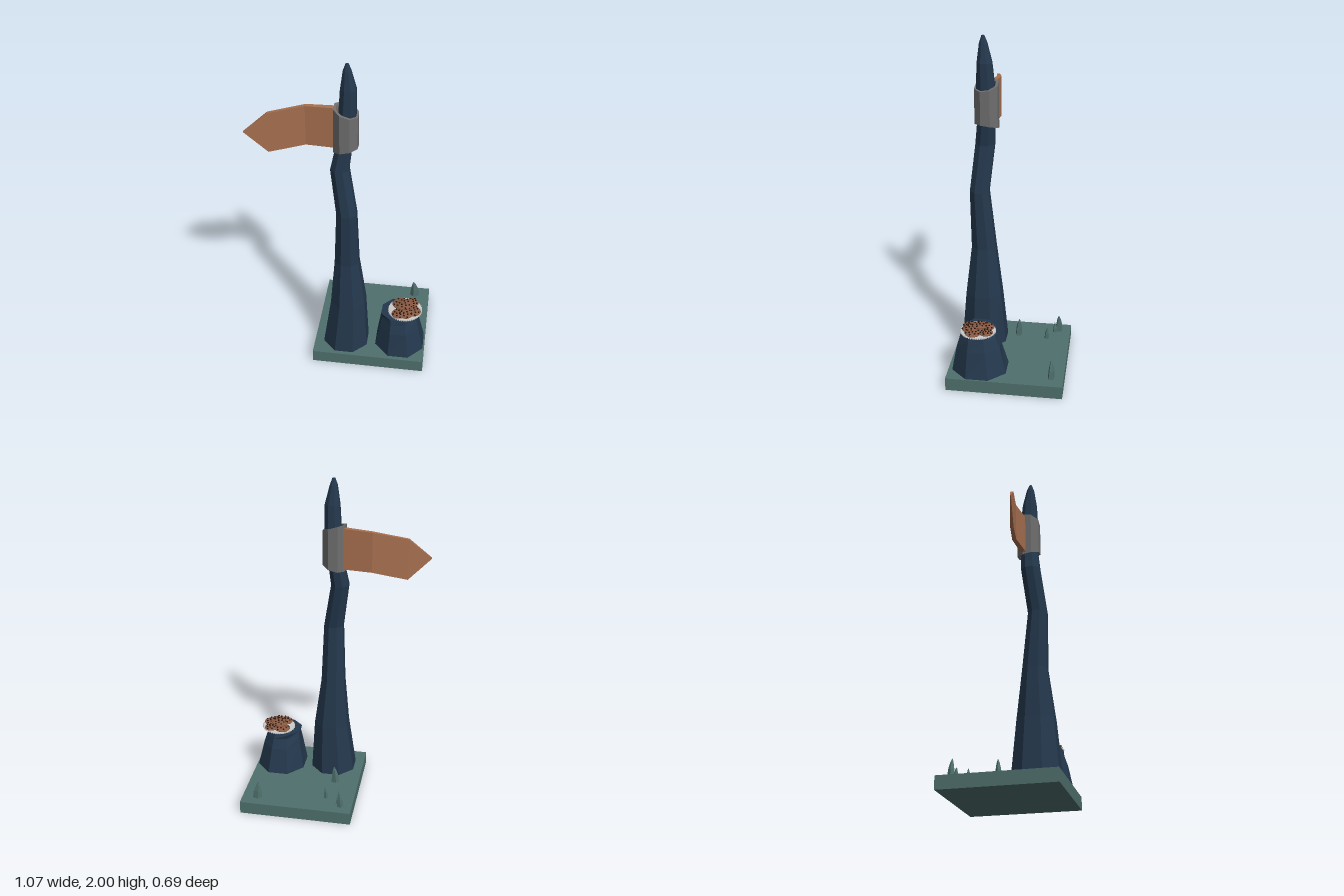
import * as THREE from 'three';

const mat = (color, flatShading = true) => new THREE.MeshStandardMaterial({ color, flatShading });
const navy = mat(0x24384d), moss = mat(0x4f706d), iron = mat(0x6e6e6e), wood = mat(0xa97150);
const paper = mat(0xe4e4e4), dough = mat(0x8a5a42, false), chocolate = mat(0x24140f, false);

function part(name, geometry, material, parent) {
  const mesh = new THREE.Mesh(geometry, material);
  mesh.name = name;
  parent.add(mesh);
  return mesh;
}

// Skin a list of equal-length rings of [x, y, z] points, with optional end caps
function loft(rings, caps = true) {
  const pos = [], n = rings[0].length;
  const tri = (a, b, c) => pos.push(...a, ...b, ...c);
  for (let i = 0; i < rings.length - 1; i++) {
    for (let j = 0; j < n; j++) {
      const k = (j + 1) % n, p = rings[i], q = rings[i + 1];
      tri(p[j], q[j], p[k]);
      tri(p[k], q[j], q[k]);
    }
  }
  if (caps) {
    const a = rings[0], b = rings[rings.length - 1];
    for (let j = 1; j < n - 1; j++) {
      tri(a[0], a[j], a[j + 1]);
      tri(b[0], b[j + 1], b[j]);
    }
  }
  const g = new THREE.BufferGeometry();
  g.setAttribute('position', new THREE.Float32BufferAttribute(pos, 3));
  g.computeVertexNormals();
  return g;
}

// Polygon ring given its half widths; sx and sz slope it along x and z
function ring(y, cx, cz, hx, hz = hx, n = 8, sx = 0, sz = 0, wobble = () => 0) {
  return Array.from({ length: n }, (_, i) => {
    const a = ((i + 0.5) / n) * Math.PI * 2, k = (1 + wobble(i)) / Math.cos(Math.PI / n);
    const dx = hx * k * Math.cos(a), dz = hz * k * Math.sin(a);
    return [cx + dx, y + sx * dx + sz * dz, cz + dz];
  });
}

export function createModel() {
  const model = new THREE.Group();
  model.name = 'signpost';

  // Ground slab
  part('ground', new THREE.BoxGeometry(0.69, 0.08, 0.69), moss, model).position.set(0.19, 0.04, 0);

  // Crooked post: y, centre x, centre z, half width x, half width z
  part('post', loft([
    [0.08, 0.037, 0.185, 0.136, 0.136],
    [0.41, 0.05, 0.184, 0.104, 0.108],
    [0.72, 0.04, 0.184, 0.071, 0.072],
    [1.08, 0.04, 0.206, 0.058, 0.056],
    [1.36, -0.003, 0.176, 0.052, 0.056],
    [1.48, 0.016, 0.166, 0.046, 0.052],
    [1.7, 0.038, 0.163, 0.048, 0.052],
    [1.85, 0.042, 0.167, 0.043, 0.042],
    [1.96, 0.036, 0.174, 0.022, 0.022],
    [2.0, 0.036, 0.175, 0.008, 0.008],
  ].map(r => ring(...r))), navy, model);

  // Hollow metal collar with slanted rims
  const lower = h => ring(1.478, 0.029, 0.16, h, h, 8, 0.24, 0.14);
  const upper = h => ring(1.718, 0.029, 0.16, h, h, 8, -0.3, -0.15);
  part('collar', loft([lower(0.067), upper(0.067), upper(0.052), lower(0.052), lower(0.067)], false), iron, model);

  // Bent arrow board: x, bottom, top, back, front
  part('arrowBoard', loft([
    [-0.02, 1.475, 1.722, 0.121, 0.155],
    [-0.2, 1.47, 1.712, 0.109, 0.134],
    [-0.405, 1.425, 1.67, 0.148, 0.168],
    [-0.538, 1.552, 1.557, 0.181, 0.186],
  ].map(([x, b, t, z0, z1]) => [[x, t, z1], [x, b, z1], [x, b, z0], [x, t, z0]])), wood, model);

  // Tree stump, slightly irregular toward the top
  const bumps = [0.03, -0.02, 0.02, -0.04, 0.03, -0.12, 0.02, -0.02];
  part('stump', loft([
    ring(0.08, 0.376, 0.16, 0.15, 0.161),
    ring(0.24, 0.37, 0.165, 0.12, 0.128, 8, 0, 0, i => bumps[i] * 0.5),
    ring(0.3, 0.366, 0.168, 0.107, 0.107, 8, 0, 0, i => bumps[i]),
    ring(0.332, 0.361, 0.17, 0.103, 0.098, 8, 0, 0, i => -bumps[i] * 0.3),
  ]), navy, model);

  // Serving of cookies on a frilled paper mat
  const treats = new THREE.Group();
  treats.name = 'cookiePlate';
  treats.position.set(0.401, 0.337, 0.167);
  treats.rotation.z = 0.04;
  model.add(treats);

  const frill = new THREE.Shape(Array.from({ length: 96 }, (_, i) => {
    const a = (i / 96) * Math.PI * 2, r = i % 2 ? 0.1 : 0.106;
    return new THREE.Vector2(r * Math.cos(a), r * Math.sin(a));
  }));
  const matGeo = new THREE.ExtrudeGeometry(frill, { depth: 0.007, bevelEnabled: false });
  part('paperMat', matGeo.rotateX(-Math.PI / 2), paper, treats);

  // Cookies: x, y, z, radius, tilt about x, tilt about z
  const cookieGeo = new THREE.SphereGeometry(1, 20, 10);
  const chipGeo = new THREE.SphereGeometry(0.006, 6, 4);
  [
    [-0.03, 0.014, -0.04, 0.052, 0, 0],
    [0.04, 0.015, -0.055, 0.04, 0.05, 0],
    [0.052, 0.015, 0.022, 0.047, 0, -0.05],
    [-0.035, 0.015, 0.052, 0.045, 0, 0.05],
    [0.008, 0.02, 0.048, 0.047, 0.1, 0],
    [-0.008, 0.035, -0.012, 0.049, 0, 0.08],
  ].forEach(([x, y, z, r, tx, tz]) => {
    const cookie = new THREE.Group();
    cookie.name = 'cookie';
    cookie.position.set(x, y, z);
    cookie.rotation.set(tx, 0, tz);
    treats.add(cookie);
    part('cookieDough', cookieGeo, dough, cookie).scale.set(r, 0.011, r);
    for (let i = 0; i < 12; i++) {
      const d = Math.sqrt((i + 0.5) / 12) * 0.9, a = i * 2.4;
      part('chip', chipGeo, chocolate, cookie)
        .position.set(r * d * Math.cos(a), 0.011 * Math.sqrt(1 - d * d), r * d * Math.sin(a));
    }
  });

  // Grass shoots: x, z, half width x, half width z, height, lean x, lean z
  [
    [-0.082, -0.273, 0.017, 0.019, 0.11, 0.008, 0.002],
    [-0.065, -0.25, 0.013, 0.012, 0.06, -0.006, 0.004],
    [0.02, -0.203, 0.011, 0.012, 0.075, 0.003, -0.004],
    [-0.007, -0.022, 0.022, 0.017, 0.11, 0.006, -0.006],
    [0.442, -0.272, 0.026, 0.017, 0.11, -0.012, 0.002],
  ].forEach(([x, z, hx, hz, h, lx, lz]) => {
    part('grassShoot', loft([[0, 1], [0.45, 0.8], [0.8, 0.45], [1, 0.08]].map(([t, s]) =>
      ring(0.08 + h * t, x + lx * t * t, z + lz * t * t, hx * s, hz * s, 5))), moss, model);
  });

  return model;
}
